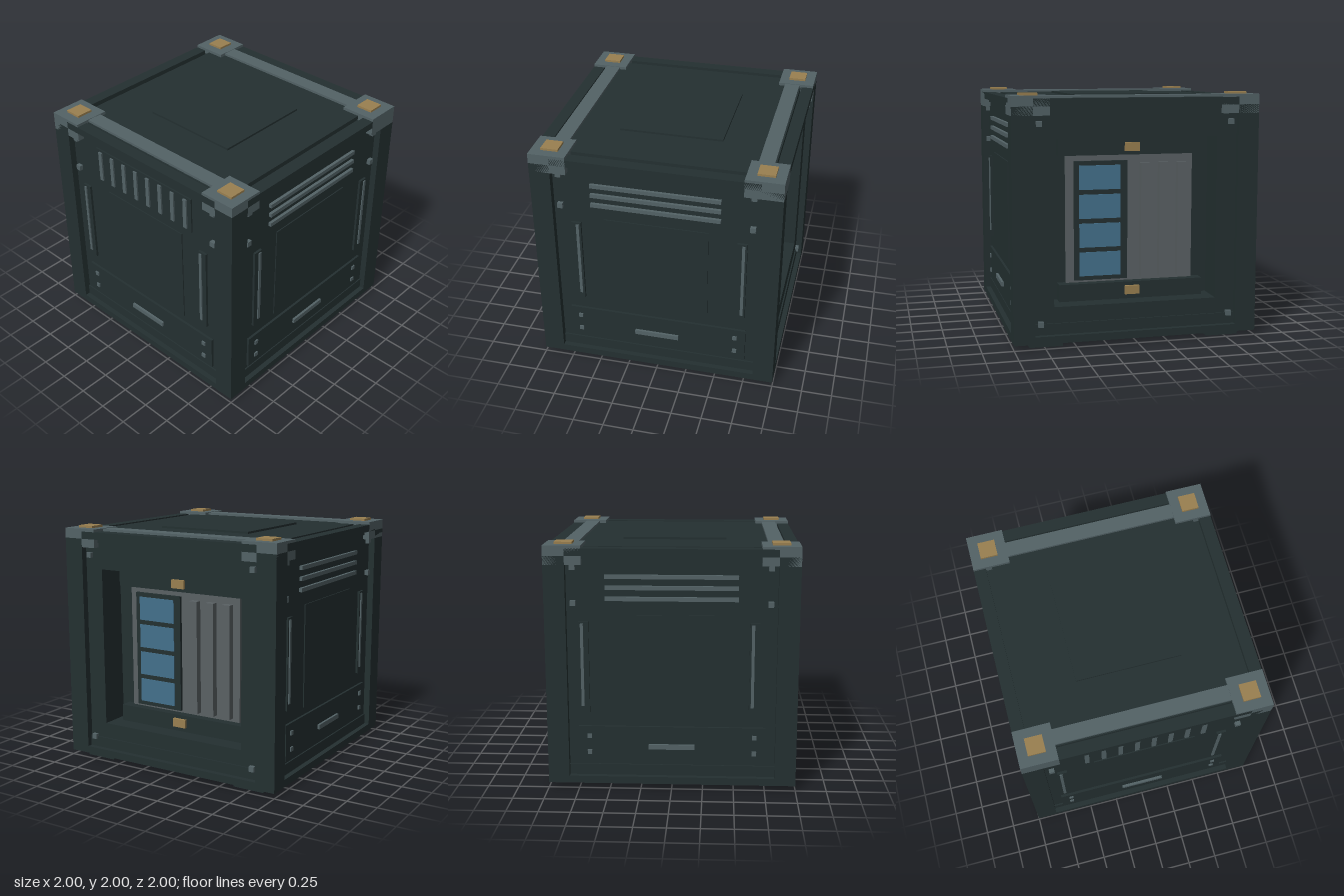
import * as THREE from 'three';

const mat = (name, color) => new THREE.MeshStandardMaterial({ name, color });

export function createModel() {
  const dark = mat('darkHull', 0x243031);
  const steel = mat('steelTrim', 0x536266);
  const grey = mat('greyMachinery', 0x5a6164);
  const gold = mat('brassPads', 0x9a8050);
  const blue = mat('blueScreens', 0x44718c);

  const model = new THREE.Group();
  model.name = 'storageCrate';

  // Box from its min and max corners
  const box = (parent, name, m, x0, x1, y0, y1, z0, z1) => {
    const mesh = new THREE.Mesh(new THREE.BoxGeometry(x1 - x0, y1 - y0, z1 - z0), m);
    mesh.position.set((x0 + x1) / 2, (y0 + y1) / 2, (z0 + z1) / 2);
    mesh.name = name;
    parent.add(mesh);
    return mesh;
  };

  const P = 0.945; // distance of the recessed wall panels from the centre
  const CAVITY = 0.7; // distance of the rear bay's back wall

  // Hull: solid core plus a rear wall with a square opening
  box(model, 'core', dark, -P, P, 0.05, 1.92, -CAVITY, P);
  const rear = new THREE.Shape();
  rear.moveTo(-P, 0.05).lineTo(P, 0.05).lineTo(P, 1.92).lineTo(-P, 1.92).closePath();
  const hole = new THREE.Path();
  hole.moveTo(-0.67, 0.32).lineTo(-0.67, 1.65).lineTo(0.67, 1.65).lineTo(0.67, 0.32).closePath();
  rear.holes.push(hole);
  const rearWall = new THREE.Mesh(
    new THREE.ExtrudeGeometry(rear, { depth: P - CAVITY, bevelEnabled: false }), dark);
  rearWall.position.z = -P;
  rearWall.name = 'rearWall';
  model.add(rearWall);

  // Top and bottom decks with raised plates
  box(model, 'topDeck', dark, -0.85, 0.85, 1.9, 1.958, -0.89, 0.89);
  box(model, 'topPlate', dark, -0.425, 0.425, 1.95, 1.975, -0.425, 0.425);
  box(model, 'bottomDeck', dark, -0.9, 0.9, 0.04, 0.06, -0.9, 0.9);
  box(model, 'bottomPlate', dark, -0.425, 0.425, 0.028, 0.05, -0.425, 0.425);

  // Edge beams and skids
  for (const s of [-1, 1]) {
    for (const [y0, y1] of [[0.04, 0.1], [1.9, 1.96]]) {
      box(model, 'sideBeam', dark, s * 0.95 - 0.05, s * 0.95 + 0.05, y0, y1, -0.83, 0.83);
      box(model, 'crossBeam', dark, -0.83, 0.83, y0, y1, s * 0.95 - 0.05, s * 0.95 + 0.05);
    }
    box(model, 'skid', dark, s * 0.735 - 0.135, s * 0.735 + 0.135, 0, 0.045, -0.94, 0.94);
    box(model, 'topRail', steel, -0.71, 0.71, 1.95, 1.978, s * 0.8175 - 0.0625, s * 0.8175 + 0.0625);

    // Corner posts, caps and pads
    for (const t of [-1, 1]) {
      box(model, 'cornerPost', dark, s * 0.915 - 0.085, s * 0.915 + 0.085, 0.04, 1.9,
        t * 0.915 - 0.085, t * 0.915 + 0.085);
      box(model, 'cornerCap', steel, s * 0.85 - 0.15, s * 0.85 + 0.15, 1.83, 1.982,
        t * 0.85 - 0.15, t * 0.85 + 0.15);
      box(model, 'cornerPad', gold, s * 0.85 - 0.07, s * 0.85 + 0.07, 1.975, 2,
        t * 0.85 - 0.07, t * 0.85 + 0.07);
    }
  }

  const rivet = (g, x, y, r) =>
    box(g, 'rivet', steel, x - r, x + r, y - r, y + r, P - 0.01, P + 0.032);

  // Lips along the top and bottom of a wall
  const addLips = (g) => {
    box(g, 'bottomLip', dark, -0.83, 0.83, 0.1, 0.19, P - 0.01, P + 0.012);
    box(g, 'topLip', dark, -0.83, 0.83, 1.87, 1.9, P - 0.01, P + 0.012);
  };

  // Fittings shared by the front and side walls, built facing +z
  const wall = (name, turn, shift, lean) => {
    const g = new THREE.Group();
    g.name = name;
    g.rotation.y = turn;
    model.add(g);
    addLips(g);
    box(g, 'centrePlate', dark, -0.425, 0.425, 0.58, 1.43, P - 0.01, P + 0.009);
    box(g, 'drawer', dark, -0.75, 0.75, 0.215, 0.515, P - 0.01, P + 0.02);
    box(g, 'drawerHandle', steel, -0.185, 0.185, 0.33, 0.37, P, P + 0.04);
    for (const s of [-1, 1]) {
      const x = s * 0.676 + shift;
      box(g, 'stripHousing', dark, x - 0.04, x + 0.04, 0.63, 1.375, P - 0.01, P + 0.02);
      box(g, 'strip', steel, x + lean - 0.012, x + lean + 0.012, 0.685, 1.36, P, P + 0.03);
      for (const y of [0.3, 0.435]) rivet(g, s * 0.663, y, 0.018);
      for (const y of [1.525, 1.81]) rivet(g, s * 0.775, y, 0.022);
    }
    return g;
  };

  // Front wall with a slatted vent
  const front = wall('frontWall', 0, -0.021, -0.013);
  box(front, 'ventPanel', dark, -0.54, 0.54, 1.505, 1.815, P - 0.01, P + 0.012);
  for (let i = 0; i < 8; i++) {
    const x = -0.482 + i * 0.1375;
    box(front, 'ventSlat', steel, x - 0.018, x + 0.018, 1.53, 1.795, P, P + 0.025);
  }

  // Side walls with three long louvres
  for (const s of [-1, 1]) {
    const side = wall(s > 0 ? 'leftWall' : 'rightWall', s * Math.PI / 2, s * 0.021, s * 0.013);
    for (const y of [1.56, 1.648, 1.735])
      box(side, 'louvre', steel, -0.523, 0.523, y - 0.016, y + 0.016, P - 0.01, P + 0.025);
  }

  // Rear wall fittings; in this turned group +x is the model's right
  const back = new THREE.Group();
  back.name = 'rearBay';
  back.rotation.y = Math.PI;
  model.add(back);
  addLips(back);
  for (const x of [-0.78, 0.78]) for (const y of [0.19, 1.765]) rivet(back, x, y, 0.022);

  // Rails with latches above and below the bay
  for (const [y0, y1] of [[0.31, 0.46], [1.5, 1.66]]) {
    const y = (y0 + y1) / 2 + (y0 > 1 ? -0.015 : 0.01);
    box(back, 'bayRail', dark, -0.6, 0.6, y0, y1, CAVITY - 0.01, 0.8);
    box(back, 'latch', gold, -0.06, 0.06, y - 0.035, y + 0.035, 0.79, 0.825);
  }
  box(back, 'backPlate', grey, -0.53, 0.53, 0.44, 1.52, CAVITY - 0.01, 0.73);

  // Stack of four screens in a dark frame
  box(back, 'screenFrame', dark, -0.465, -0.025, 0.48, 1.45, 0.72, 0.755);
  for (let i = 0; i < 4; i++) {
    const y = 0.6125 + i * 0.235;
    box(back, 'screen', blue, -0.425, -0.085, y - 0.098, y + 0.098, 0.754, 0.762);
  }

  // Three upright ducts
  for (let i = 0; i < 3; i++) {
    const x = 0.12 + i * 0.155;
    box(back, 'duct', grey, x - 0.037, x + 0.037, 0.49, 1.43, 0.72, 0.785);
  }
  return model;
}
